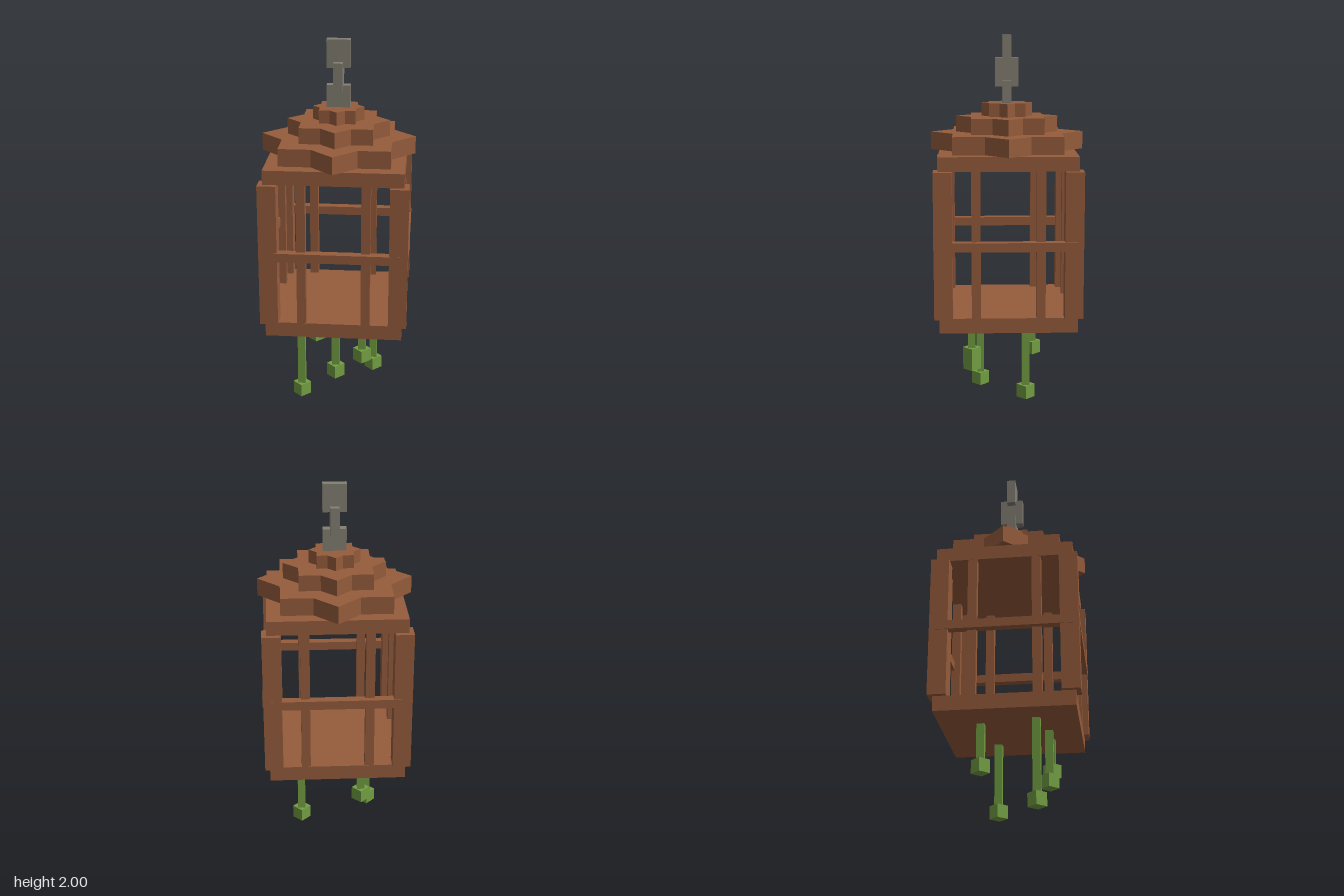
import * as THREE from 'three';

const material = (name, color) => {
  const m = new THREE.MeshStandardMaterial({ color });
  m.name = name;
  return m;
};

export function createModel() {
  const wood = material('brownWood', 0x965c3c);
  const iron = material('greyIron', 0x847f74);
  const leaf = material('leafGreen', 0x729e42);

  const model = new THREE.Group();
  model.name = 'hangingLantern';

  // Box spanning bottom to top, centred on x and z
  function box(name, mat, w, d, bottom, top, x = 0, z = 0, parent = model) {
    const mesh = new THREE.Mesh(new THREE.BoxGeometry(w, top - bottom, d), mat);
    mesh.position.set(x, (bottom + top) / 2, z);
    mesh.name = name;
    parent.add(mesh);
    return mesh;
  }

  // Floor and ceiling slabs
  const FLOOR = 0.543, CEILING = 1.317;
  box('floorSlab', wood, 0.726, 0.726, 0.463, FLOOR);
  box('ceilingSlab', wood, 0.726, 0.726, CEILING, 1.393);

  // Four corner posts
  for (const x of [-0.34, 0.34])
    for (const z of [-0.34, 0.34]) box('cornerPost', wood, 0.097, 0.097, FLOOR, CEILING, x, z);

  // Each side: two thin uprights and one cross rail
  for (let i = 0; i < 4; i++) {
    const side = new THREE.Group();
    side.name = 'cageSide';
    for (const x of [-0.169, 0.169]) box('upright', wood, 0.048, 0.048, FLOOR, CEILING, x, 0.338, side);
    box('crossRail', wood, i % 2 ? 0.717 : 0.697, 0.048, 0.903, 0.951, 0, 0.368, side);
    side.rotation.y = (i * Math.PI) / 2;
    model.add(side);
  }

  // Stepped roof of eight-pointed stars: a square merged with its 45 degree copy
  function starTier(half, bottom, top) {
    const tip = half * Math.SQRT2, notch = half * Math.hypot(1, Math.SQRT2 - 1);
    const points = [];
    for (let i = 0; i < 16; i++) {
      const r = i % 2 ? notch : tip, a = (i * Math.PI) / 8;
      points.push(new THREE.Vector2(r * Math.cos(a), r * Math.sin(a)));
    }
    const geo = new THREE.ExtrudeGeometry(new THREE.Shape(points), { depth: top - bottom, bevelEnabled: false });
    geo.rotateX(-Math.PI / 2);
    const mesh = new THREE.Mesh(geo, wood);
    mesh.position.y = bottom;
    mesh.name = 'roofTier';
    model.add(mesh);
  }
  starTier(0.29, 1.393, 1.487);
  starTier(0.193, 1.487, 1.572);
  starTier(0.0965, 1.572, 1.643);

  // Chain of flat links, alternately turned
  box('chainLink', iron, 0.125, 0.048, 1.643, 1.76);
  box('chainLink', iron, 0.048, 0.125, 1.73, 1.883);
  box('chainLink', iron, 0.125, 0.048, 1.852, 2);

  // Hanging vines: x, z, bottom of bud
  const vines = [
    [-0.195, 0.147, 0], [-0.14, -0.147, 0.2], [0, 0.195, 0.15],
    [0.145, 0.195, 0.25], [0.193, -0.097, 0.053],
  ];
  for (const [x, z, bottom] of vines) {
    const vine = new THREE.Group();
    vine.name = 'hangingVine';
    box('vineStem', leaf, 0.042, 0.042, bottom + 0.06, 0.463, x, z, vine);
    box('vineBud', leaf, 0.07, 0.07, bottom, bottom + 0.072, x, z, vine).rotation.y = Math.PI / 4;
    model.add(vine);
  }

  return model;
}
